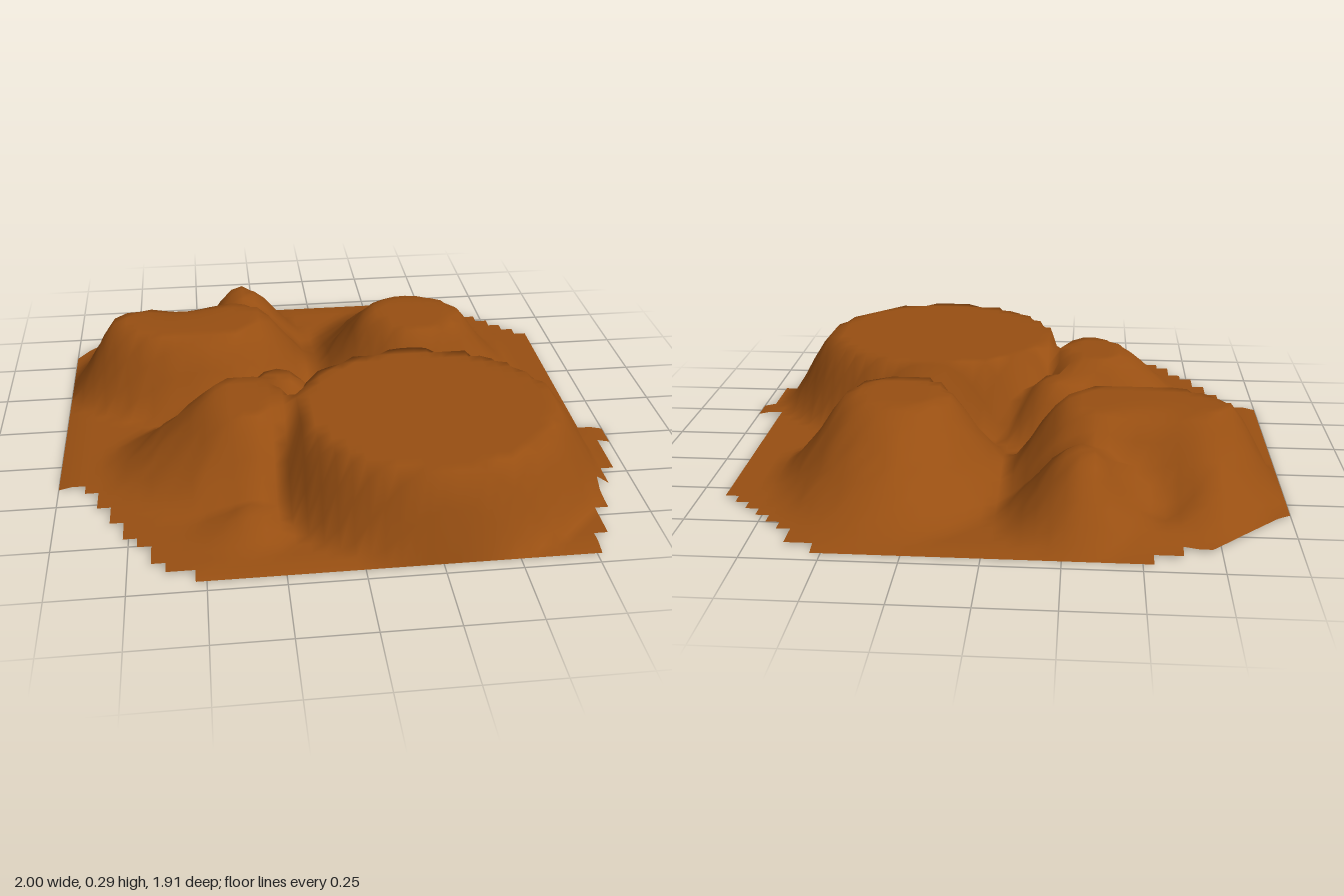
import * as THREE from 'three';

const NX = 43, NZ = 41, CELL = 2 / NX, TOP = 0.28;

// Mounds: centre, height, flank curve (above 1 is hollow), flat top and foot reach toward +x, -x, +z, -z
const MOUNDS = [
  { c: [0.28, 0.43], h: TOP, curve: 1, top: [0.45, 0.46, 0.44, 0.41], foot: [0.63, 0.55, 0.53, 0.48] },
  { c: [0.34, -0.29], h: TOP, curve: 1.2, top: [0.19, 0.17, 0.20, 0.14], foot: [0.43, 0.42, 0.29, 0.62] },
  { c: [-0.48, -0.33], h: TOP, curve: 1, top: [0.25, 0.34, 0.20, 0.14], foot: [0.46, 0.51, 0.35, 0.58] },
  { c: [-0.31, -0.63], h: 0.23, curve: 1, top: [0.05, 0.05, 0.06, 0.08], foot: [0.27, 0.25, 0.25, 0.31] },
  { c: [-0.34, 0.28], h: 0.27, curve: 1.2, top: [0.13, 0.12, 0.17, 0.14], foot: [0.30, 0.50, 0.41, 0.33] },
  { c: [-0.20, 0.07], h: 0.22, curve: 1, top: [0.06, 0.08, 0.06, 0.05], foot: [0.22, 0.25, 0.2, 0.18] },
  { c: [-0.33, 0.68], h: 0.07, curve: 1, top: [0.02, 0.02, 0.02, 0.02], foot: [0.14, 0.22, 0.18, 0.2] },
];

// Stepped outline: [z limit, x limit] for rows up to that z
const LEFT = [[-0.91, -0.53], [-0.86, -0.63], [-0.63, -0.96], [0.39, -1], [0.43, -0.91], [0.53, -0.86],
  [0.62, -0.81], [0.71, -0.77], [0.77, -0.72], [0.86, -0.67], [0.91, -0.63], [1, -0.53]];
const RIGHT = [[-0.91, 0.53], [-0.82, 0.63], [-0.77, 0.67], [-0.72, 0.72], [-0.68, 0.77], [-0.63, 0.81],
  [-0.58, 0.86], [0.21, 0.91], [0.3, 1], [0.48, 0.95], [0.58, 0.91], [0.71, 0.86], [0.86, 0.81], [1, 0.77]];
const CORNER = -34 * CELL; // back-left corner is cut along x + z = CORNER
const limitAt = (steps, z) => steps.find(s => z < s[0])[1];

// Repeatable value in -1..1 for weathering
const hash = (i, j) => {
  const s = Math.sin(i * 127.1 + j * 311.7) * 43758.5453;
  return (s - Math.floor(s)) * 2 - 1;
};

function moundHeight(m, x, z) {
  const dx = x - m.c[0], dz = z - m.c[1];
  const sx = dx > 0 ? 0 : 1, sz = dz > 0 ? 2 : 3;
  const inner = Math.hypot(dx / m.top[sx], dz / m.top[sz]);
  const outer = Math.hypot(dx / m.foot[sx], dz / m.foot[sz]);
  if (inner <= 1) return m.h;
  if (outer >= 1) return 0;
  // distances along the ray from the centre: point, rim and foot
  const r = Math.hypot(dx, dz), rim = r / inner, foot = r / outer;
  const t = ((foot - r) / (foot - rim)) ** m.curve;
  return m.h * (0.75 * t + 0.25 * t * t * (3 - 2 * t));
}

// Round hollow of a given depth
const hollow = (x, z, cx, cz, rx, rz, depth) =>
  depth * Math.exp(-(((x - cx) / rx) ** 2) - ((z - cz) / rz) ** 2);

function heightAt(x, z, i, j) {
  let h = Math.max(...MOUNDS.map(m => moundHeight(m, x, z)));
  // breach and gully in the back-left hill
  h -= hollow(x, z, -0.57, -0.62, 0.12, 0.14, 0.14);
  h -= hollow(x, z, -0.45, -0.52, 0.09, 0.05, 0.07);
  // light weathering on the flanks only
  const flank = Math.max(0, Math.min(h, TOP - 0.01 - h)) / 0.14;
  return Math.max(0, h + 0.01 + flank * 0.012 * hash(i, j));
}

export function createModel() {
  const group = new THREE.Group();
  group.name = 'hillyTerrain';

  // Height grid, with its outer border on the ground
  const positions = [], index = [];
  for (let j = 0; j <= NZ; j++) {
    for (let i = 0; i <= NX; i++) {
      const x = (i - NX / 2) * CELL, z = (j - NZ / 2) * CELL;
      const border = i === 0 || i === NX || j === 0 || j === NZ;
      positions.push(x, border ? 0 : heightAt(x, z, i, j), z);
    }
  }

  // Cells inside the stepped outline
  for (let j = 0; j < NZ; j++) {
    const z = (j + 0.5 - NZ / 2) * CELL;
    const x0 = limitAt(LEFT, z), x1 = limitAt(RIGHT, z);
    for (let i = 0; i < NX; i++) {
      const x = (i + 0.5 - NX / 2) * CELL;
      if (x < x0 || x > x1 || x + z < CORNER - CELL / 2) continue;
      const a = j * (NX + 1) + i, b = a + 1, c = a + NX + 1, d = c + 1;
      index.push(b, c, d);
      if (x + z > CORNER + CELL / 2) index.push(a, c, b);
    }
  }

  const geometry = new THREE.BufferGeometry();
  geometry.setAttribute('position', new THREE.Float32BufferAttribute(positions, 3));
  geometry.setIndex(index);
  geometry.computeVertexNormals();

  const material = new THREE.MeshStandardMaterial({ color: 0x984f12, side: THREE.DoubleSide });
  const ground = new THREE.Mesh(geometry, material);
  ground.name = 'hills';
  group.add(ground);
  return group;
}
